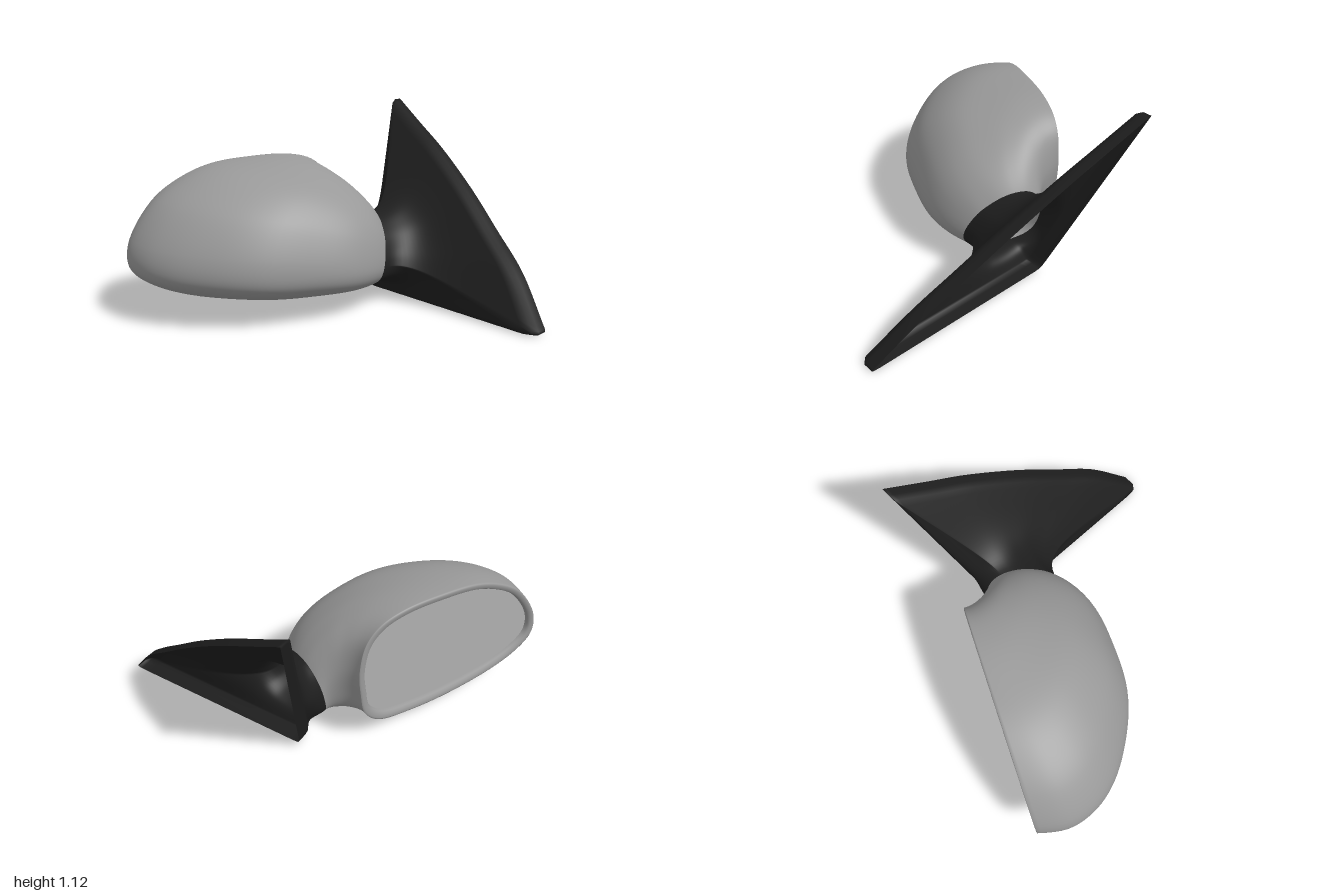
import * as THREE from 'three';

const V = (x, y, z = 0) => new THREE.Vector3(x, y, z);
const curve = (pts, closed) =>
  new THREE.CatmullRomCurve3(pts.map(([a, b]) => V(a, b)), closed, 'centripetal');

// Skin a list of closed loops of equal length.
function loft(rows, material, name) {
  const n = rows[0].length, index = [];
  for (let r = 0; r < rows.length - 1; r++) {
    for (let c = 0; c < n; c++) {
      const d = (c + 1) % n;
      const a = r * n + c, b = a + n, e = r * n + d, f = e + n;
      index.push(a, b, e, b, f, e);
    }
  }
  const geometry = new THREE.BufferGeometry().setFromPoints(rows.flat());
  geometry.setIndex(index);
  geometry.computeVertexNormals();
  const mesh = new THREE.Mesh(geometry, material);
  mesh.name = name;
  return mesh;
}

// Housing frame: u runs along the glass from the outer tip, w is depth to the front.
const place = (u, w, y) => V(-1 + 0.415 * u + 0.91 * w, y, 0.81 - 0.91 * u + 0.415 * w);
const PIVOT = 1.4, INNER = 0.15, COLS = 108;

// Section outlines (radial fraction, height): glass rim and neck ring.
const rimShape = curve([
  [1, 0.34], [0.98, 0.46], [0.87, 0.655], [0.74, 0.765], [0.6, 0.83], [0.42, 0.855],
  [0.22, 0.855], [0.1, 0.815], [0.03, 0.73], [0, 0.56], [0.01, 0.4], [0.04, 0.24],
  [0.12, 0.15], [0.28, 0.115], [0.5, 0.108], [0.76, 0.145], [0.9, 0.2], [0.98, 0.27],
], true);
const ringShape = curve([
  [1, 0.24], [0.98, 0.29], [0.92, 0.35], [0.83, 0.41], [0.7, 0.46], [0.55, 0.5],
  [0.38, 0.52], [0.2, 0.51], [0.07, 0.46], [0, 0.38], [0, 0.3], [0.04, 0.22],
  [0.13, 0.17], [0.28, 0.14], [0.5, 0.125], [0.75, 0.135], [0.9, 0.16], [0.98, 0.2],
], true);

// Outer reach of the shell: sweep angle in degrees, radius from the pivot.
const reach = new THREE.SplineCurve([
  [0, 1.4], [7, 1.444], [14, 1.427], [21, 1.365], [30, 1.25],
  [41, 1.11], [55, 0.92], [72, 0.76], [85, 0.641], [90, 0.6],
].map(([a, r]) => new THREE.Vector2(a, r)));

// One fan section of the shell.
function section(t) {
  const { x: angle, y: outer } = reach.getPoint(t);
  const phi = THREE.MathUtils.degToRad(angle);
  const blend = Math.pow(Math.max(angle, 0) / 90, 1.9);
  return Array.from({ length: COLS }, (_, k) => {
    const p = rimShape.getPoint(k / COLS).lerp(ringShape.getPoint(k / COLS), blend);
    const r = INNER + p.x * (outer - INNER);
    const tilt = blend * ((p.y - 0.32) * 0.24 - 0.03);
    return place(PIVOT - r * Math.cos(phi) + tilt, r * Math.sin(phi), p.y);
  });
}

// The rim outline shrunk about its middle and set to a depth.
function inset(su, sy, w) {
  return Array.from({ length: COLS }, (_, k) => {
    const p = rimShape.getPoint(k / COLS);
    return place(0.625 + (0.5 - p.x) * 1.25 * su, w, 0.475 + (p.y - 0.475) * sy);
  });
}

// Triangular sail whose face flares into the neck ring.
function sailRows(ring) {
  const edges = [
    [[-0.43, 1.13], [-0.2, 0.99], [0, 0.87], [0.3, 0.66], [0.55, 0.46], [0.77, 0.28], [0.99, 0.03]],
    [[0.99, 0.03], [0.995, 0.015], [0.94, 0.005]],
    [[0.94, 0.005], [0.4, 0.015], [-0.16, 0.025]],
    [[-0.16, 0.025], [-0.2, 0.035], [-0.22, 0.09]],
    [[-0.22, 0.09], [-0.325, 0.61], [-0.43, 1.13]],
  ];
  const counts = [60, 4, 50, 8, 50];
  const outline = edges.flatMap((e, i) => curve(e, false).getPoints(counts[i]).slice(0, -1));
  const c = ring.reduce((s, p) => s.add(p), V(0, 0)).divideScalar(ring.length).setZ(0);
  const angleOf = (p) => Math.atan2(p.y - c.y, p.x - c.x);
  const wrap = (a) => Math.atan2(Math.sin(a), Math.cos(a));
  // Point of the counter-clockwise ring that lies in direction a
  const onRing = (a) => {
    const off = ring.map((p) => wrap(angleOf(p) - a));
    const next = (i) => (i + 1) % ring.length;
    const i = off.findIndex((d, k) => d <= 0 && off[next(k)] > 0 && off[next(k)] - d < 2);
    return ring[i].clone().lerp(ring[next(i)], off[i] / (off[i] - off[next(i)]));
  };
  const back = (y) => -0.475 - 0.41 * y;
  const STEPS = 20;
  const columns = outline.map((p) => {
    const edge = 0.1 - 0.02 * p.y;
    const R = onRing(angleOf(p));
    const at = (q, t) => V(q.x, q.y, back(q.y) + t);
    const flat = V(p.x, p.y);
    const E = at(flat.clone().lerp(c, 0.025), edge);
    const K = at(c.clone().lerp(V(R.x, R.y), 0.97), 0.16);
    const M = at(V(E.x, E.y).lerp(V(K.x, K.y), 0.6), 0.15);
    const face = new THREE.CubicBezierCurve3(E, M, K, R).getPoints(STEPS);
    return [at(flat, 0), at(flat, edge * 0.65), ...face];
  });
  return columns[0].map((_, j) => columns.map((col) => col[j]));
}

export function createModel() {
  const group = new THREE.Group();
  group.name = 'wingMirror';
  const paint = (color) => new THREE.MeshStandardMaterial({ color, side: THREE.DoubleSide });
  const grey = paint(0x999999), glass = paint(0xb0b0b0), dark = paint(0x1e1e1e);

  // Shell with a rolled lip around the glass
  const ROWS = 48;
  const shell = Array.from({ length: ROWS + 1 }, (_, i) => section(i / ROWS));
  const lip = [inset(0.93, 0.88, 0.035), inset(0.935, 0.89, 0.012), inset(0.95, 0.915, 0), inset(0.985, 0.975, -0.003)];
  group.add(loft([...lip, ...shell], grey, 'housing'));

  // Flat glass set into the lip
  group.add(loft([inset(0, 0, 0.03), inset(0.93, 0.88, 0.03)], glass, 'mirrorGlass'));

  // Hollow mounting sail and neck
  group.add(loft(sailRows(shell[ROWS]), dark, 'mountingSail'));
  return group;
}
